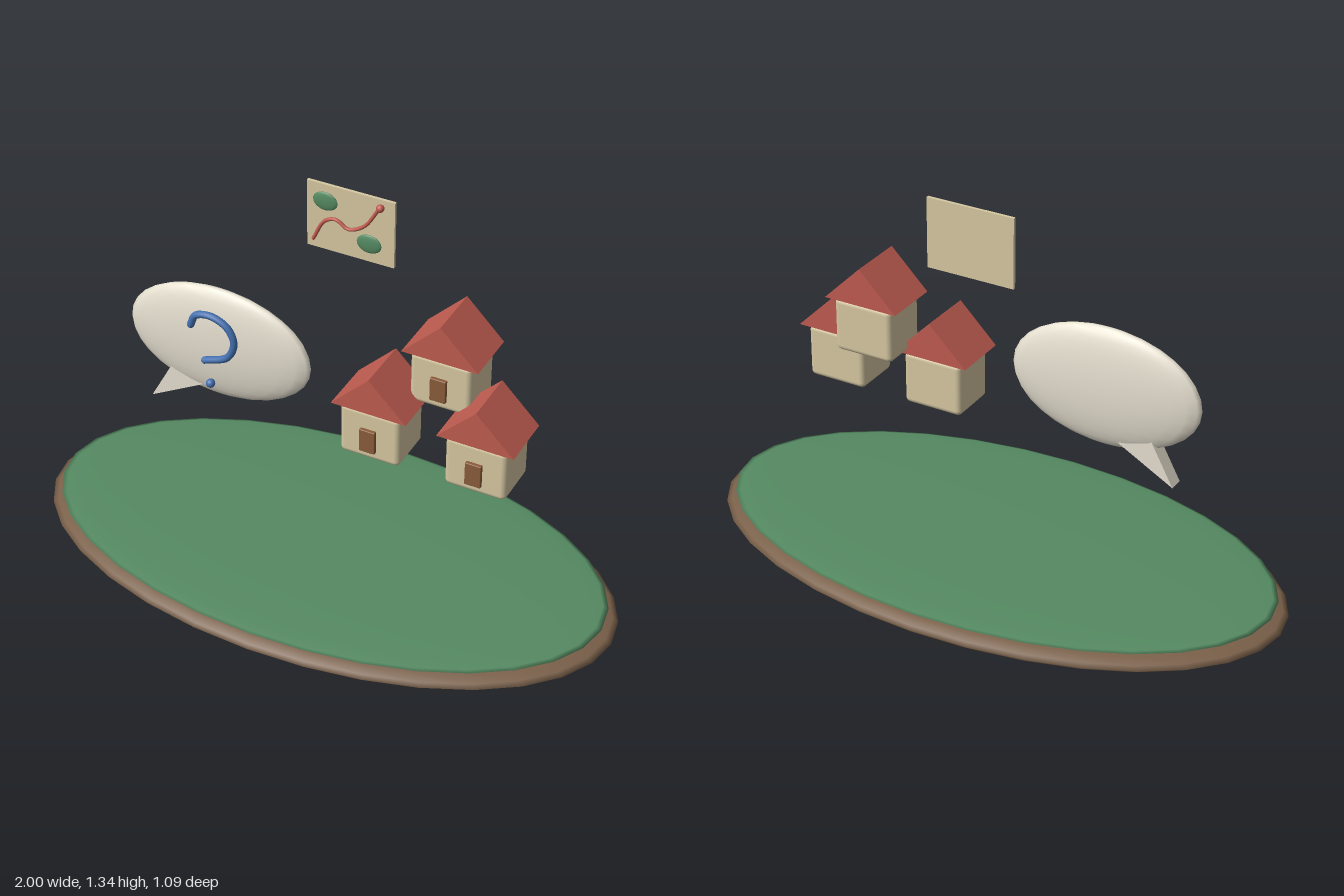
import * as THREE from 'three';
import { RoundedBoxGeometry } from 'three/addons/geometries/RoundedBoxGeometry.js';

const paint = (color) => new THREE.MeshStandardMaterial({ color });
const soil = paint(0x7a6049), grass = paint(0x558a62), ivory = paint(0xe6e0d0), blue = paint(0x4470b0);
const cream = paint(0xd6c8a2), red = paint(0xbf5c50), wood = paint(0x8a5c3a), paper = paint(0xd6c8a2);

function add(parent, name, geometry, material, x = 0, y = 0, z = 0) {
  const mesh = new THREE.Mesh(geometry, material);
  mesh.name = name;
  mesh.position.set(x, y, z);
  parent.add(mesh);
  return mesh;
}

function group(parent, name, x = 0, y = 0, z = 0) {
  const g = new THREE.Group();
  g.name = name;
  g.position.set(x, y, z);
  parent.add(g);
  return g;
}

const ellipsoid = (rx, ry, rz, w = 32, h = 16) => new THREE.SphereGeometry(1, w, h).scale(rx, ry, rz);

// Flat outline extruded along z and centred on z = 0
function prism(points, depth) {
  const shape = new THREE.Shape(points.map(([x, y]) => new THREE.Vector2(x, y)));
  return new THREE.ExtrudeGeometry(shape, { depth, bevelEnabled: false }).translate(0, 0, -depth / 2);
}

// Round tube through points in the xy plane
function tube(points, radius, segments) {
  const curve = new THREE.CatmullRomCurve3(points.map(([x, y]) => new THREE.Vector3(x, y, 0)));
  return new THREE.TubeGeometry(curve, segments, radius, 10);
}

function addHouse(parent, name, x, y, z) {
  const house = group(parent, name, x, y, z);
  add(house, 'walls', new RoundedBoxGeometry(0.205, 0.182, 0.17, 3, 0.018), cream, 0, 0.091, 0);
  add(house, 'roof', prism([[-0.128, 0.182], [0.128, 0.182], [0, 0.309]], 0.19), red);
  add(house, 'door', new RoundedBoxGeometry(0.054, 0.082, 0.014, 2, 0.003), wood, 0, 0.079, 0.095);
}

export function createModel() {
  const model = new THREE.Group();
  model.name = 'floatingVillage';

  // Oval ground
  add(model, 'soilDisc', ellipsoid(1, 0.06, 0.545), soil, 0, 0.06, 0);
  add(model, 'grassDisc', ellipsoid(0.965, 0.017, 0.522), grass, 0, 0.105, 0);

  // Speech bubble with its tail and question mark
  const bubble = group(model, 'speechBubble');
  add(bubble, 'bubbleBody', ellipsoid(0.324, 0.202, 0.05, 24, 16), ivory, -0.38, 0.765, 0);
  add(bubble, 'bubbleTail', prism([[-0.627, 0.488], [-0.43, 0.597], [-0.55, 0.63]], 0.05), ivory);
  const hook = [[-0.447, 0.85], [-0.428, 0.89], [-0.372, 0.903], [-0.315, 0.877],
    [-0.293, 0.825], [-0.318, 0.764], [-0.4, 0.727]];
  add(bubble, 'questionHook', tube(hook, 0.012, 40), blue, 0, 0, 0.065);
  for (const [x, y] of [hook[0], hook[hook.length - 1]]) {
    add(bubble, 'hookEnd', new THREE.SphereGeometry(0.012, 10, 8), blue, x, y, 0.065);
  }
  add(bubble, 'questionDot', new THREE.SphereGeometry(0.015, 16, 12), blue, -0.382, 0.643, 0.065);

  // Three houses
  addHouse(model, 'leftHouse', 0.19, 0.558, 0);
  addHouse(model, 'rightHouse', 0.548, 0.558, 0);
  addHouse(model, 'backHouse', 0.375, 0.747, -0.105);

  // Map sheet with woods and a route
  const map = group(model, 'map', 0, 0, -0.165);
  add(map, 'sheet', new THREE.BoxGeometry(0.298, 0.232, 0.01), paper, -0.003, 1.225, 0);
  for (const [x, y] of [[-0.088, 1.284], [0.062, 1.174]]) {
    add(map, 'woodland', ellipsoid(0.042, 0.032, 0.008, 20, 12), grass, x, y, 0.008);
  }
  const route = [[-0.128, 1.14], [-0.088, 1.215], [-0.05, 1.231], [-0.008, 1.209], [0.046, 1.235], [0.099, 1.316]];
  add(map, 'route', tube(route, 0.006, 40), red, 0, 0, 0.012);
  add(map, 'routeMarker', new THREE.SphereGeometry(0.013, 16, 12), red, 0.101, 1.316, 0.014);

  return model;
}
